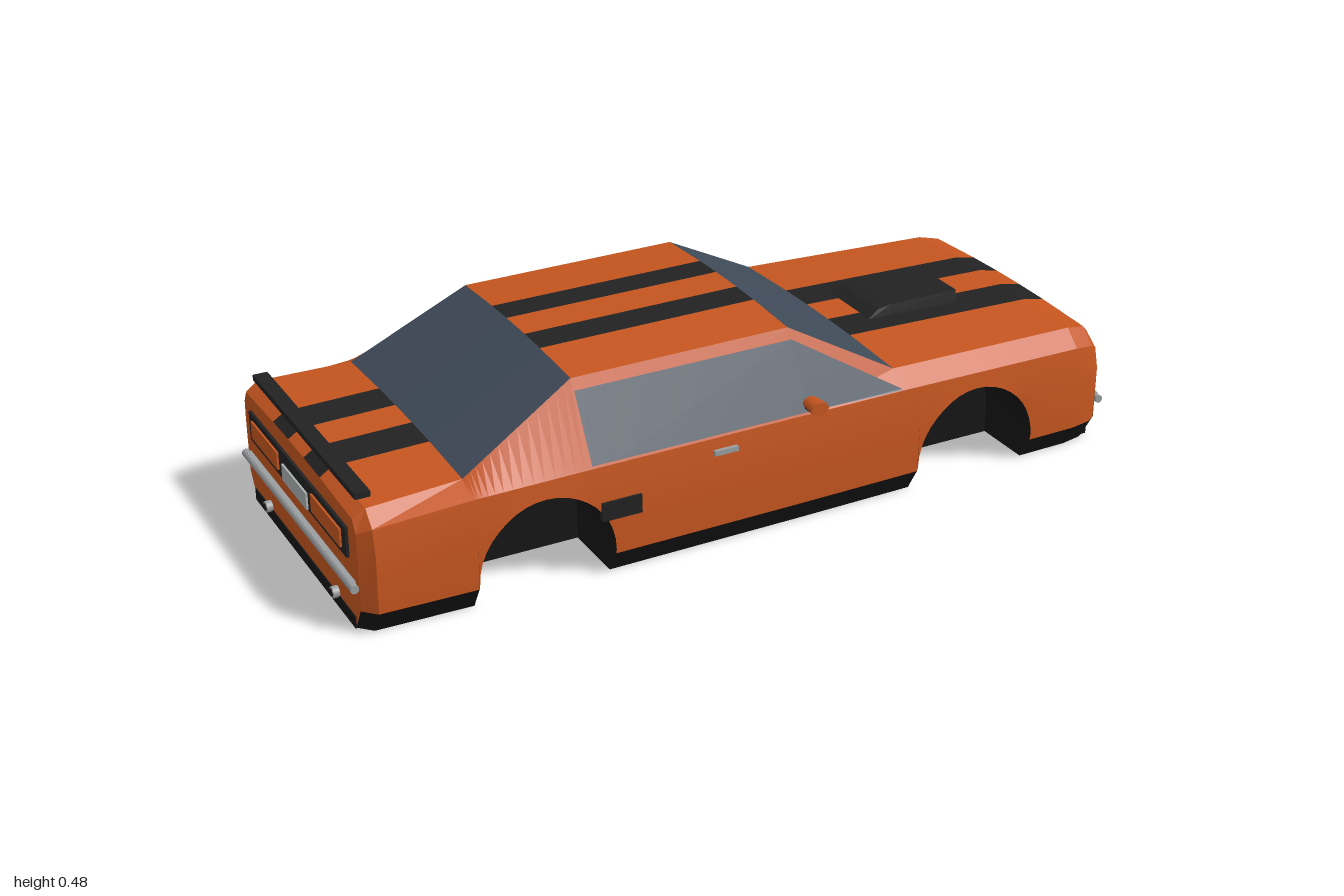
import * as THREE from 'three';
import { toCreasedNormals } from 'three/addons/utils/BufferGeometryUtils.js';

const mat = (name, color, side = THREE.FrontSide) => {
  const m = new THREE.MeshStandardMaterial({ color, side });
  m.name = name;
  return m;
};

// Body stations: x, upper edge y/z, shoulder y/z, widest z
const KEYS = [
  [-0.98, 0.28, 0.345, 0.25, 0.362, 0.365],
  [-0.95, 0.3, 0.35, 0.265, 0.385, 0.396],
  [-0.72, 0.305, 0.335, 0.28, 0.392, 0.403],
  [-0.435, 0.463, 0.29, 0.283, 0.392, 0.404],
  [0.12, 0.466, 0.29, 0.283, 0.387, 0.4],
  [0.38, 0.325, 0.345, 0.283, 0.385, 0.396],
  [0.9, 0.312, 0.33, 0.272, 0.372, 0.386],
  [0.955, 0.3, 0.322, 0.262, 0.36, 0.375],
  [0.975, 0.28, 0.31, 0.25, 0.35, 0.363],
];
const ARCHES = [-0.55, 0.597], R = 0.167, ARCH_Y = 0.073, WELL_Z = 0.2, SILL = 0.06;

const station = (x) => {
  let i = 0;
  while (i < KEYS.length - 2 && x > KEYS[i + 1][0]) i++;
  const a = KEYS[i], b = KEYS[i + 1], t = (x - a[0]) / (b[0] - a[0]);
  const [, ey, ez, cy, cz, wz] = a.map((v, k) => v + (b[k] - v) * t);
  return { ey, ez, cy, cz, wz };
};
const archY = (x) => {
  for (const c of ARCHES) {
    const d = Math.abs(x - c);
    if (d <= R + 1e-6) return ARCH_Y + Math.sqrt(Math.max(0, R * R - d * d));
  }
  return 0;
};
// Half width of the body wall at height y
const wallZ = (x, y) => {
  const { cy, cz, wz } = station(x);
  if (y < 0.065) return wz - 0.038 * (1 - y / 0.065);
  return y < 0.2 ? wz : wz + (cz - wz) * (y - 0.2) / (cy - 0.2);
};

// Surface through rows of points
const grid = (rows, flip = false, crease = 0.4) => {
  const pos = [], v = rows.map((r) => r.map((p) => new THREE.Vector3(...p)));
  const tri = (a, b, c) => {
    const n = new THREE.Vector3().subVectors(b, a).cross(new THREE.Vector3().subVectors(c, a));
    if (n.length() < 1e-9) return;
    for (const p of flip ? [a, c, b] : [a, b, c]) pos.push(p.x, p.y, p.z);
  };
  for (let i = 0; i < v.length - 1; i++) {
    for (let j = 0; j < v[i].length - 1; j++) {
      tri(v[i][j], v[i + 1][j], v[i + 1][j + 1]);
      tri(v[i][j], v[i + 1][j + 1], v[i][j + 1]);
    }
  }
  const g = new THREE.BufferGeometry();
  g.setAttribute('position', new THREE.Float32BufferAttribute(pos, 3));
  g.computeVertexNormals();
  return toCreasedNormals(g, crease);
};

export function createModel() {
  const car = new THREE.Group();
  car.name = 'car';
  const paint = mat('orange paint', 0xc4551f, THREE.DoubleSide);
  const black = mat('black trim', 0x222222, THREE.DoubleSide);
  const under = mat('underbody black', 0x151515, THREE.DoubleSide);
  const glass = mat('tinted glass', 0x3f4a58, THREE.DoubleSide);
  const chrome = mat('chrome', 0x9a9d9f);
  const plateGrey = mat('plate grey', 0xa9adae);
  const lamp = mat('lamp cream', 0xc9bd96);

  const add = (name, geo, material) => {
    const m = new THREE.Mesh(geo, material);
    m.name = name;
    car.add(m);
    return m;
  };
  const box = (name, material, x, y, z, w, h, d) => {
    const m = add(name, new THREE.BoxGeometry(w, h, d), material);
    m.position.set(x, y, z);
    return m;
  };
  const rod = (name, material, x, y, z, r, len, axis = 'x') => {
    const g = new THREE.CylinderGeometry(r, r, len, 24);
    if (axis === 'x') g.rotateZ(-Math.PI / 2); else g.rotateX(Math.PI / 2);
    const m = add(name, g, material);
    m.position.set(x, y, z);
    return m;
  };

  // Stations along the body, denser round the wheel arches
  const xs = KEYS.map((k) => k[0]);
  for (const c of ARCHES) {
    xs.push(c - R - 0.0005, c + R + 0.0005);
    for (let k = 0; k <= 20; k++) xs.push(c + R * Math.cos(k * Math.PI / 20));
  }
  xs.sort((a, b) => a - b);

  for (const s of [1, -1]) {
    const wall = (x, y) => [x, y, s * wallZ(x, y)];
    add('sill', grid(xs.map((x) => [0, 0.03, SILL].map((y) => wall(x, Math.max(y, archY(x))))), s < 0), under);
    add('sidePanel', grid(xs.map((x) => {
      const { cy } = station(x);
      return [SILL, 0.2, cy].map((y) => wall(x, Math.max(y, archY(x))));
    }), s < 0), paint);
    add('upperSide', grid(xs.map((x) => {
      const { ey, ez, cy, cz } = station(x);
      return [[x, cy, s * cz], [x, ey, s * ez]];
    }), s < 0, 0.1), paint);

    // Side window following the cabin side
    const wx = xs.filter((x) => x >= -0.435 && x <= 0.38);
    add('sideWindow', grid(wx.map((x) => {
      const { ey, ez, cy, cz } = station(x);
      const top = x < 0.12 ? 0.86 : 0.86 - 0.76 * Math.pow((x - 0.12) / 0.26, 3);
      return [0.03, top].map((t) => [x, cy + (ey - cy) * t + 0.002, s * (cz + (ez - cz) * t + 0.004)]);
    }), s < 0, 0.1), glass);

    // Wheel wells
    for (const c of ARCHES) {
      const path = [[c - R, 0]];
      for (let k = 20; k >= 0; k--) {
        const x = c + R * Math.cos(k * Math.PI / 20);
        path.push([x, archY(x)]);
      }
      path.push([c + R, 0]);
      add('wheelWell', grid(path.map(([x, y]) => [[x, y, s * WELL_Z], [x, y, s * wallZ(x, y)]]), s > 0), under);
      const cap = new THREE.ShapeGeometry(new THREE.Shape(path.map((p) => new THREE.Vector2(...p))));
      if (s < 0) cap.rotateY(Math.PI).translate(2 * c, 0, 0);
      add('wellInnerWall', cap.translate(0, 0, s * WELL_Z), under);
    }

    // Mirror, door handle and side vent
    box('mirrorStalk', black, 0.125, 0.305, s * 0.388, 0.02, 0.012, 0.04);
    const mirror = new THREE.CylinderGeometry(0.024, 0.02, 0.046, 8).rotateX(Math.PI / 2).scale(1, 0.72, 1);
    add('mirror', mirror, paint).position.set(0.125, 0.317, s * 0.412);
    box('doorHandle', chrome, -0.1, 0.25, s * 0.397, 0.06, 0.012, 0.012);
    box('sideVent', black, -0.37, 0.177, s * 0.403, 0.1, 0.046, 0.014);

    // Headlights
    for (const [z, r] of [[0.263, 0.041], [0.177, 0.036]]) {
      rod('headlightRim', chrome, 0.982, 0.185, s * z, r, 0.018);
      rod('headlight', lamp, 0.988, 0.185, s * z, r - 0.006, 0.012);
    }
    // Front indicators
    box('indicatorFrame', black, 0.975, 0.071, s * 0.27, 0.014, 0.036, 0.08);
    box('indicator', paint, 0.979, 0.071, s * 0.27, 0.012, 0.019, 0.06);
    // Tail lamps and exhausts
    box('tailLamp', paint, -0.986, 0.208, s * 0.2, 0.012, 0.045, 0.18);
    rod('exhaust', chrome, -0.965, 0.036, s * 0.22, 0.014, 0.06);
    rod('exhaustBore', under, -0.9925, 0.036, s * 0.22, 0.009, 0.008);
  }

  // Floor, narrowed between the wells
  add('floor', grid(xs.map((x) => {
    const w = archY(x) > 0 ? WELL_Z : wallZ(x, 0);
    return [[x, 0, -w], [x, 0, w]];
  })), under);

  // Top panels with two stripes; glass spans the full width
  const topPoint = (x, z) => {
    const { ey, ez } = station(x);
    return [x, ey + 0.01 * (1 - (z / ez) ** 2), z];
  };
  const columns = (x, outer) => {
    const { ez } = station(x);
    return [ez, outer, 0.05, -0.05, -outer, -ez];
  };
  const panels = [
    ['rearDeck', -0.98, -0.72, 0.152], ['rearWindow', -0.72, -0.435, 0.152, glass],
    ['roof', -0.435, 0.12, 0.132], ['windshield', 0.12, 0.38, 0.15, glass], ['hood', 0.38, 0.975, 0.152],
  ];
  for (const [name, x0, x1, outer, full] of panels) {
    const px = KEYS.map((k) => k[0]).filter((x) => x >= x0 && x <= x1);
    for (let j = 0; j < 5; j++) {
      const stripe = j % 2 === 1 && !full;
      const rows = px.map((x) => columns(x, outer).slice(j, j + 2).map((z) => topPoint(x, z)));
      add(stripe ? name + 'Stripe' : name, grid(rows, false, 0.1), full || (stripe ? black : paint));
    }
  }

  // Nose and tail faces as fans
  for (const [name, x, flip] of [['noseFace', 0.975, false], ['tailFace', -0.98, true]]) {
    const half = [0, 0.03, 0.065, 0.2, station(x).cy].map((y) => [x, y, wallZ(x, y)]);
    const ring = [...half, ...columns(x, 0.152).map((z) => topPoint(x, z)),
      ...half.map(([a, y, z]) => [a, y, -z]).reverse()];
    ring.push(ring[0]);
    add(name, grid([ring.map(() => [x, 0.15, 0]), ring], !flip), paint);
  }

  // Front fittings
  box('grille', black, 0.975, 0.184, 0, 0.012, 0.095, 0.62);
  box('frontBumper', chrome, 0.985, 0.11, 0, 0.02, 0.022, 0.7);
  rod('frontBumperBar', chrome, 0.988, 0.11, 0, 0.01, 0.73, 'z');
  box('frontPlate', plateGrey, 0.977, 0.066, 0, 0.012, 0.038, 0.186);
  box('frontLip', under, 0.965, 0.018, 0, 0.034, 0.034, 0.66);

  // Rear fittings
  box('tailPanel', black, -0.982, 0.208, 0, 0.01, 0.075, 0.63);
  box('rearPlate', plateGrey, -0.986, 0.195, 0, 0.012, 0.042, 0.16);
  box('rearBumper', chrome, -0.985, 0.115, 0, 0.016, 0.02, 0.69);
  rod('rearBumperBar', chrome, -0.989, 0.115, 0, 0.01, 0.72, 'z');
  box('rearLip', under, -0.972, 0.015, 0, 0.022, 0.03, 0.66);
  box('spoiler', black, -0.947, 0.321, 0, 0.036, 0.014, 0.66);
  for (const z of [-0.25, 0.25]) box('spoilerPost', black, -0.945, 0.309, z, 0.02, 0.02, 0.02);

  // Hood scoop with an open front
  const profile = [[0.46, 0.325], [0.73, 0.322], [0.73, 0.356], [0.54, 0.356], [0.5, 0.35]];
  const scoop = new THREE.ExtrudeGeometry(new THREE.Shape(profile.map((p) => new THREE.Vector2(...p))),
    { depth: 0.19, bevelEnabled: false }).translate(0, 0, -0.095);
  const p = scoop.attributes.position;
  for (let i = 0; i < p.count; i++) if (p.getY(i) > 0.34) p.setZ(i, p.getZ(i) * 0.92);
  scoop.computeVertexNormals();
  add('hoodScoop', scoop, black);
  box('scoopMouth', under, 0.729, 0.341, 0, 0.006, 0.02, 0.155);
  return car;
}
